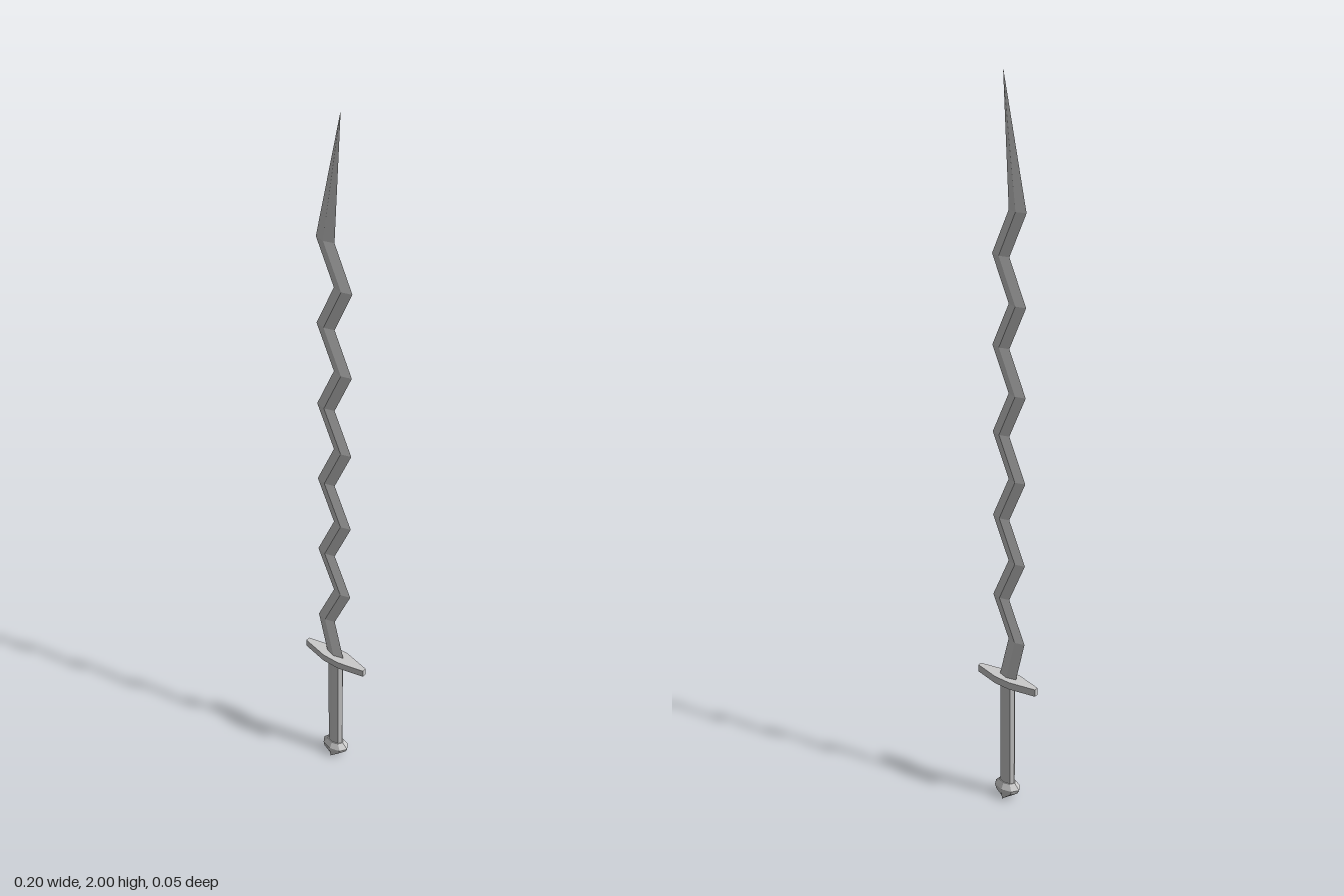
import * as THREE from 'three';

// Skin a list of rings (bottom to top, each counterclockwise seen from above) and cap both ends
function loft(rings) {
  const pos = [];
  const tri = (...pts) => pts.forEach(p => pos.push(...p));
  const n = rings[0].length;
  for (let i = 0; i < rings.length - 1; i++) {
    for (let j = 0; j < n; j++) {
      const k = (j + 1) % n, lo = rings[i], hi = rings[i + 1];
      tri(lo[j], lo[k], hi[k]);
      tri(lo[j], hi[k], hi[j]);
    }
  }
  const bottom = rings[0], top = rings[rings.length - 1];
  for (let j = 1; j < n - 1; j++) {
    tri(bottom[0], bottom[j + 1], bottom[j]);
    tri(top[0], top[j], top[j + 1]);
  }
  const geo = new THREE.BufferGeometry();
  geo.setAttribute('position', new THREE.Float32BufferAttribute(pos, 3));
  geo.computeVertexNormals();
  return geo;
}

// Elliptical ring with a given number of sides, centred on x = cx
function ring(sides, y, rx, rz, cx = 0) {
  return Array.from({ length: sides }, (_, i) => {
    const a = (i / sides) * Math.PI * 2;
    return [cx + rx * Math.cos(a), y, -rz * Math.sin(a)];
  });
}

export function createModel() {
  const group = new THREE.Group();
  const material = new THREE.MeshStandardMaterial({ color: 0xcccccc, flatShading: true });
  const add = (name, geo) => {
    const mesh = new THREE.Mesh(geo, material);
    mesh.name = name;
    group.add(mesh);
  };

  // Wavy blade: diamond sections swinging left and right, then a long point
  const sections = [ring(4, 0.38, 0.028, 0.008)];
  for (let i = 0; i < 11; i++) {
    sections.push(ring(4, 0.505 + i * 0.117, 0.0275, 0.008, i % 2 ? 0.022 : -0.031));
  }
  sections.push(ring(4, 2, 0.0005, 0.0003, 0.013));
  add('blade', loft(sections));

  // Crossguard: flat bar tapering to blunt ends
  const outline = [
    [0.1, 0.006], [0.1, -0.006], [0.025, -0.023], [-0.025, -0.023],
    [-0.1, -0.006], [-0.1, 0.006], [-0.025, 0.023], [0.025, 0.023],
  ];
  add('crossguard', loft([0.365, 0.386].map(y => outline.map(([x, z]) => [x, y, z]))));

  // Grip: flattened octagonal bar
  add('grip', loft([ring(8, 0.04, 0.024, 0.015), ring(8, 0.37, 0.024, 0.015)]));

  // Pommel: faceted knob narrowing to a ridge underneath
  add('pommel', loft([
    ring(8, 0.003, 0.003, 0.024),
    ring(8, 0.024, 0.036, 0.027),
    ring(8, 0.036, 0.042, 0.027),
    ring(8, 0.053, 0.026, 0.018),
  ]));

  // Rest the pommel on the ground
  group.children[3].position.y = -0.003;
  return group;
}
